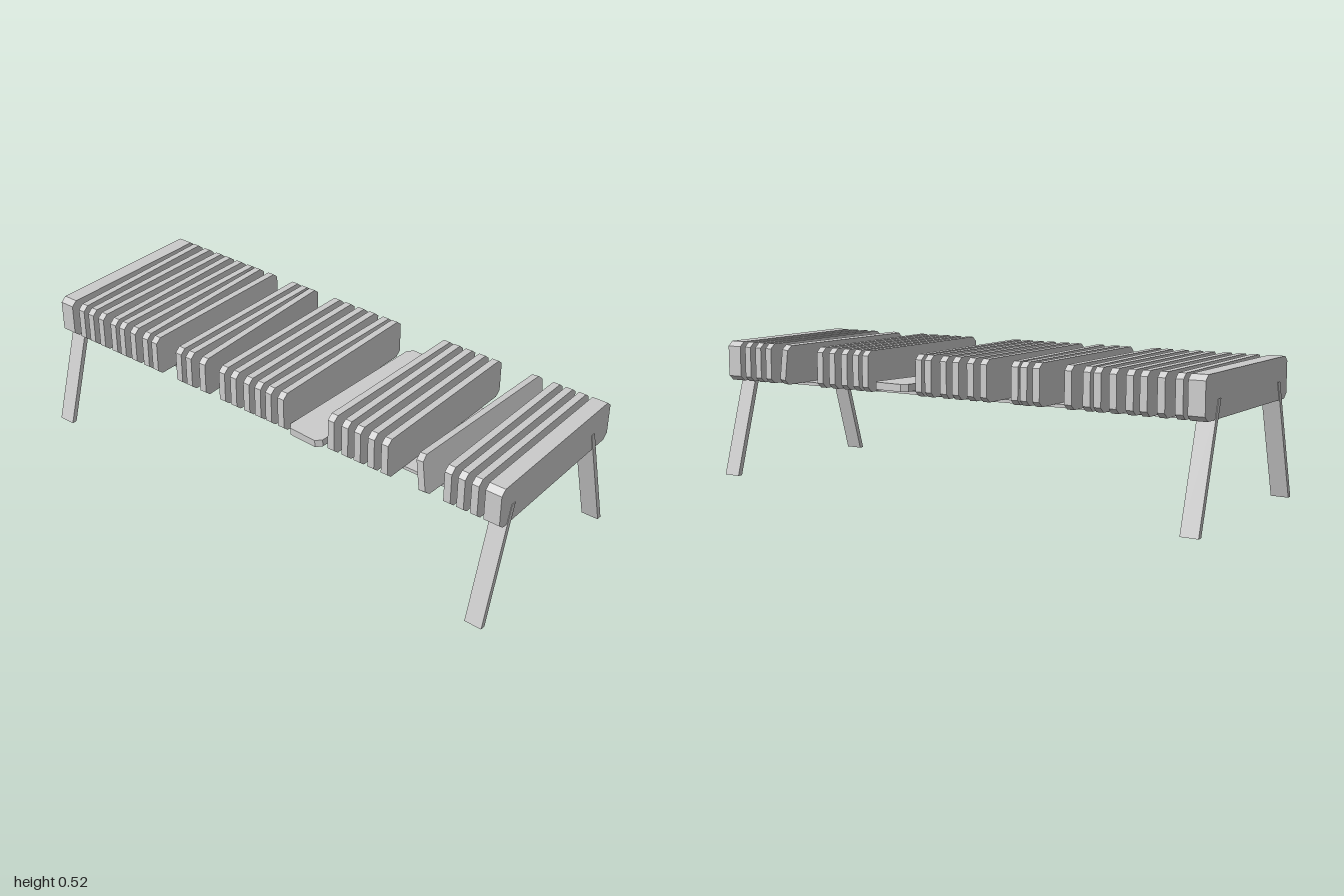
import * as THREE from 'three';

const LENGTH = 0.68, HEIGHT = 0.15, MID_Y = 0.44, MID_Z = -0.015;

// Board with chamfered corners: outline in z/y, extruded along x, centred on its origin
function boardGeometry(height, thickness, cut) {
  const l = LENGTH / 2, h = height / 2;
  const outline = [
    [-l + cut, -h], [l - cut, -h], [l, -h + cut * 0.85], [l, h - cut * 0.85],
    [l - cut, h], [-l + cut, h], [-l, h - cut * 0.85], [-l, -h + cut * 0.85],
  ].map(([a, b]) => new THREE.Vector2(a, b));
  const geo = new THREE.ExtrudeGeometry(new THREE.Shape(outline), { depth: thickness, bevelEnabled: false });
  geo.translate(0, 0, -thickness / 2);
  geo.rotateY(-Math.PI / 2);
  return geo;
}

// Slanted leg: sheared bar with level ends
function legGeometry(width) {
  const geo = new THREE.BoxGeometry(width, 0.43, 0.02);
  geo.translate(0, 0.215, 0);
  const p = geo.attributes.position;
  for (let i = 0; i < p.count; i++) p.setZ(i, p.getZ(i) + 0.379 - 0.13 * (p.getY(i) / 0.43));
  geo.computeVertexNormals();
  return geo;
}

export function createModel() {
  const group = new THREE.Group();
  const material = new THREE.MeshStandardMaterial({ color: 0xcccccc, flatShading: true });
  const add = (name, geo, x = 0, y = 0, z = 0) => {
    const mesh = new THREE.Mesh(geo, material);
    mesh.name = name;
    mesh.position.set(x, y, z);
    group.add(mesh);
    return mesh;
  };

  // Seat slats: [x at front, x at back]; some sit slightly askew
  const slats = [
    [-0.888, -0.908], [-0.837, -0.845], [-0.783, -0.783], [-0.718, -0.733], [-0.672, -0.672],
    [-0.615, -0.615], [-0.552, -0.575], [-0.505, -0.505],
    [-0.382, -0.382], [-0.333, -0.333], [-0.267, -0.297],
    [-0.172, -0.172], [-0.118, -0.118], [-0.057, -0.057], [-0.005, -0.005], [0.044, 0.060], [0.1, 0.1],
    [0.321, 0.337], [0.38, 0.38], [0.433, 0.433], [0.49, 0.49], [0.546, 0.546],
    [0.797, 0.797], [0.848, 0.848], [0.9, 0.9],
  ];
  const slatGeo = boardGeometry(HEIGHT, 0.027, 0.021);
  for (const [front, back] of slats) {
    const slat = add('slat', slatGeo, (front + back) / 2, MID_Y, MID_Z);
    slat.rotation.y = Math.atan((front - back) / LENGTH);
  }

  // One slat leaning sideways
  const leaning = add('leaningSlat', slatGeo, 0.707, MID_Y, MID_Z);
  leaning.rotation.set(0, -0.042, 0.12);

  // One slat fallen flat onto the rails
  const fallen = add('fallenSlat', slatGeo, 0.215, 0.385, MID_Z);
  fallen.rotation.set(0.019, -0.055, Math.PI / 2, 'YXZ');

  // Two rails under the slats
  for (const z of [0.168, -0.182]) add('rail', new THREE.BoxGeometry(1.88, 0.012, 0.117), 0, 0.359, z);

  // End boards with a splayed pair of legs each
  const endGeo = boardGeometry(HEIGHT, 0.06, 0.021);
  const legGeo = legGeometry(0.066);
  for (const side of [-1, 1]) {
    add('endBoard', endGeo, side * 0.968, MID_Y, MID_Z);
    add('frontLeg', legGeo, side * 0.967, 0, 0);
    add('backLeg', legGeo, side * 0.967, 0, 0).rotation.y = Math.PI;
  }
  return group;
}
